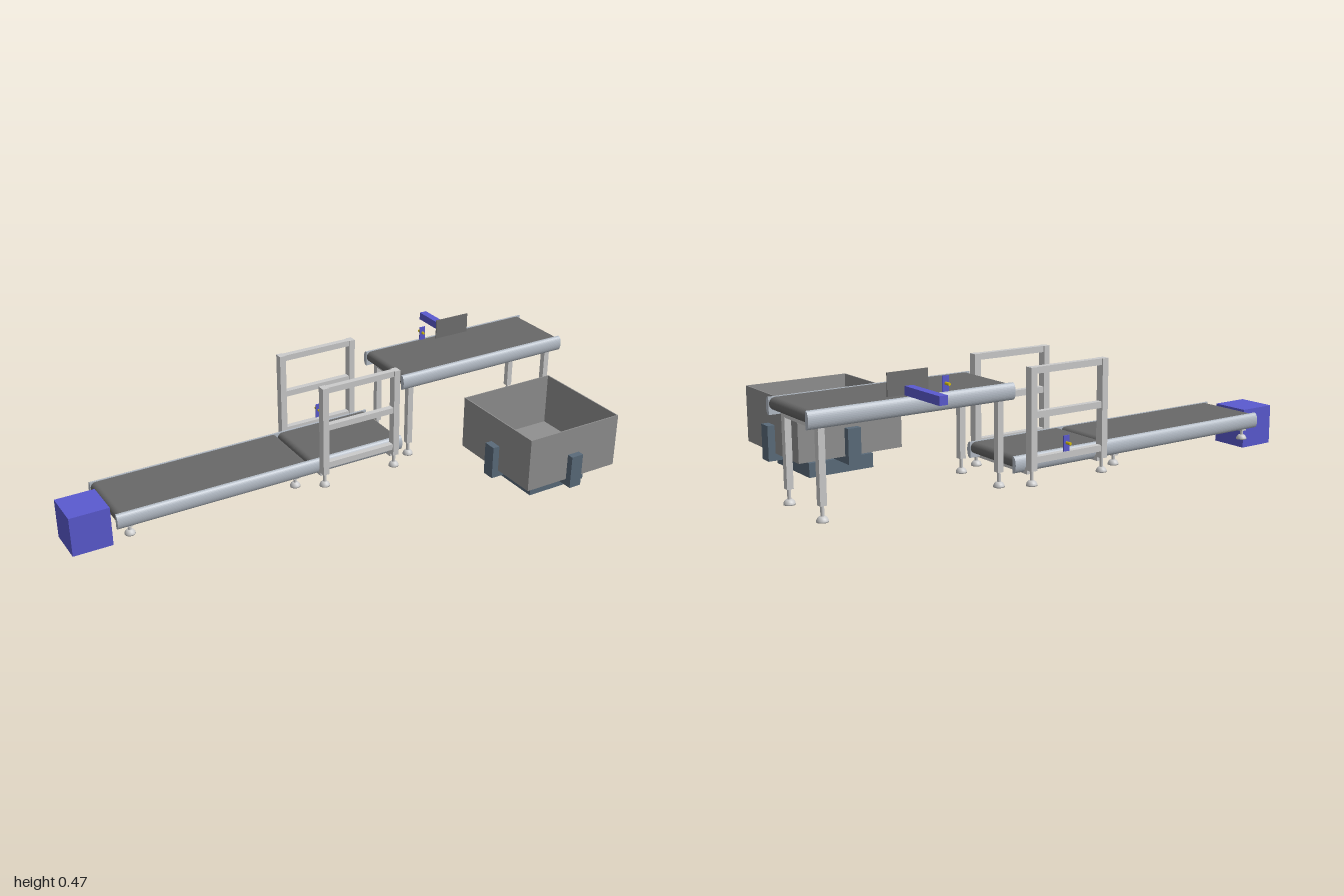
import * as THREE from 'three';

const mat = (color) => new THREE.MeshStandardMaterial({ color });
const METAL = mat(0xcccccc), RAIL = mat(0xb4bcc6), BELT = mat(0x686868), BLUE = mat(0x5a5ad0);
const SLATE = mat(0x5a6b7a), BIN = mat(0x909090), DARK = mat(0x707070), YELLOW = mat(0xd8c010);
const MID_Z = -0.2; // centre line of the conveyors

export function createModel() {
  const root = new THREE.Group();

  const group = (name, parent = root) => {
    const g = new THREE.Group();
    g.name = name;
    parent.add(g);
    return g;
  };
  const add = (parent, name, geometry, material, x = 0, y = 0, z = 0) => {
    const m = new THREE.Mesh(geometry, material);
    m.name = name;
    m.position.set(x, y, z);
    parent.add(m);
    return m;
  };
  // box given by its extents on each axis
  const box = (parent, name, material, [x0, x1], [y0, y1], [z0, z1]) =>
    add(parent, name, new THREE.BoxGeometry(x1 - x0, y1 - y0, z1 - z0), material,
      (x0 + x1) / 2, (y0 + y1) / 2, (z0 + z1) / 2);

  // levelling foot: domed pad and threaded rod
  const padProfile = [[0, 0], [0.019, 0], [0.019, 0.004], [0.016, 0.011], [0.011, 0.016], [0.005, 0.018], [0, 0.018]]
    .map(([r, y]) => new THREE.Vector2(r, y));
  const padGeometry = new THREE.LatheGeometry(padProfile, 20);
  const foot = (parent, x, z, top) => {
    const g = group('foot', parent);
    add(g, 'footPad', padGeometry, METAL, x, 0.05, z);
    add(g, 'footRod', new THREE.CylinderGeometry(0.006, 0.006, top - 0.06, 12), METAL, x, (top + 0.06) / 2, z);
  };

  // side rail: flat inside, rounded outside, extruded along x
  const railGeometry = (length, h) => {
    const s = new THREE.Shape();
    s.moveTo(0, 0);
    s.lineTo(0.005, 0);
    s.bezierCurveTo(0.013, 0, 0.019, h * 0.25, 0.019, h * 0.5);
    s.bezierCurveTo(0.019, h * 0.75, 0.013, h, 0.005, h);
    s.lineTo(0, h);
    return new THREE.ExtrudeGeometry(s, { depth: length, bevelEnabled: false, curveSegments: 8 });
  };

  // belt loop: stadium outline in x-y, extruded across the width
  const beltGeometry = (length, r, width) => {
    const s = new THREE.Shape();
    const half = length / 2 - r;
    s.moveTo(-half, -r);
    s.lineTo(half, -r);
    s.absarc(half, 0, r, -Math.PI / 2, Math.PI / 2, false);
    s.lineTo(-half, r);
    s.absarc(-half, 0, r, Math.PI / 2, Math.PI * 1.5, false);
    const g = new THREE.ExtrudeGeometry(s, { depth: width, bevelEnabled: false, curveSegments: 12 });
    return g.translate(0, 0, -width / 2);
  };

  const conveyor = (name, x0, x1, top, legXs, legBottom) => {
    const g = group(name);
    const h = 0.056, length = x1 - x0;
    add(g, 'belt', beltGeometry(length - 0.004, 0.02, 0.246), BELT, (x0 + x1) / 2, top - 0.022, MID_Z);
    for (const side of [1, -1]) {
      const rail = add(g, 'sideRail', railGeometry(length, h), RAIL,
        side > 0 ? x0 : x1, top - h, MID_Z + side * 0.122);
      // local x points outwards across the conveyor, local z runs along it
      rail.rotation.y = side > 0 ? -Math.PI / 2 : Math.PI / 2;
      if (side > 0) rail.position.x = x1;
      else rail.position.x = x0;
    }
    for (const x of legXs) {
      box(g, 'crossBeam', METAL, [x - 0.011, x + 0.011], [top - 0.064, top - 0.042], [MID_Z - 0.122, MID_Z + 0.122]);
      for (const side of [1, -1]) {
        const z = MID_Z + side * 0.11;
        if (legBottom < top - 0.07)
          box(g, 'leg', METAL, [x - 0.011, x + 0.011], [legBottom, top - 0.042], [z - 0.011, z + 0.011]);
        foot(g, x, z, Math.max(legBottom, 0.09));
      }
    }
  };

  conveyor('infeedConveyor', -0.855, -0.12, 0.147, [-0.805, -0.17], 0.09);
  conveyor('gateConveyor', -0.12, 0.27, 0.147, [], 0.09);
  conveyor('upperConveyor', 0.27, 1, 0.392, [0.315, 0.95], 0.1);

  // guard frames on both sides of the short conveyor, tied together below
  const guard = group('guardFrame');
  const postXs = [-0.075, 0.22];
  for (const z of [-0.04, -0.36]) {
    for (const x of postXs) {
      box(guard, 'post', METAL, [x - 0.012, x + 0.012], [0.1, 0.442], [z - 0.015, z + 0.015]);
      foot(guard, x, z, 0.1);
    }
    for (const y of [0.135, 0.285, 0.431])
      box(guard, 'guardRail', METAL, [-0.075, 0.22], [y - 0.011, y + 0.011], [z - 0.011, z + 0.011]);
  }
  for (const x of postXs)
    box(guard, 'tieBeam', METAL, [x - 0.011, x + 0.011], [0.086, 0.108], [-0.35, -0.05]);

  // drive box at the low end
  box(root, 'driveBox', BLUE, [-1, -0.855], [0, 0.148], [-0.272, -0.126]);

  // pusher: plate and rod
  const pusher = group('pusher');
  box(pusher, 'pusherPlate', DARK, [0.57, 0.715], [0.393, 0.468], [-0.298, -0.294]);
  box(pusher, 'pusherRod', BLUE, [0.626, 0.655], [0.392, 0.421], [-0.494, -0.298]);

  // sensors: upright plate with a small barrel through it
  const sensor = (x, y0, y1, z, barrelY, barrelZ) => {
    const g = group('sensor');
    box(g, 'sensorPlate', BLUE, [x - 0.012, x + 0.012], [y0, y1], [z - 0.002, z + 0.002]);
    const barrel = add(g, 'sensorBarrel', new THREE.CylinderGeometry(0.005, 0.005, 0.034, 12), YELLOW, x, barrelY, barrelZ);
    barrel.rotation.x = Math.PI / 2;
  };
  sensor(0.523, 0.37, 0.442, -0.322, 0.418, -0.328);
  sensor(0.083, 0.135, 0.2, -0.367, 0.175, -0.373);

  // open bin
  const cx = 0.641, cz = 0.272;
  const bin = group('bin');
  const wall = 0.004, hx = 0.193, hz = 0.196;
  const binY = [0.125, 0.322];
  for (const s of [1, -1]) {
    const wx = cx + s * (hx - wall / 2), wz = cz + s * (hz - wall / 2);
    box(bin, 'binEnd', BIN, [wx - wall / 2, wx + wall / 2], binY, [cz - hz, cz + hz]);
    box(bin, 'binSide', BIN, [cx - hx + wall, cx + hx - wall], binY, [wz - wall / 2, wz + wall / 2]);
  }
  box(bin, 'binFloor', BIN, [cx - hx + wall, cx + hx - wall], [0.125, 0.129], [cz - hz + wall, cz + hz - wall]);

  // cradle: block with a cross of four arms and uprights
  const cradle = group('binCradle');
  box(cradle, 'cradleBase', SLATE, [cx - 0.121, cx + 0.121], [0.05, 0.1], [cz - 0.123, cz + 0.123]);
  box(cradle, 'crossArm', SLATE, [cx - 0.219, cx + 0.219], [0.1, 0.125], [cz - 0.024, cz + 0.024]);
  box(cradle, 'crossArm', SLATE, [cx - 0.024, cx + 0.024], [0.1, 0.125], [cz - 0.22, cz + 0.22]);
  for (const s of [1, -1]) {
    const ux = cx + s * 0.206, uz = cz + s * 0.208;
    box(cradle, 'upright', SLATE, [ux - 0.013, ux + 0.013], [0.1, 0.222], [cz - 0.024, cz + 0.024]);
    box(cradle, 'upright', SLATE, [cx - 0.024, cx + 0.024], [0.1, 0.222], [uz - 0.012, uz + 0.012]);
  }

  return root;
}
